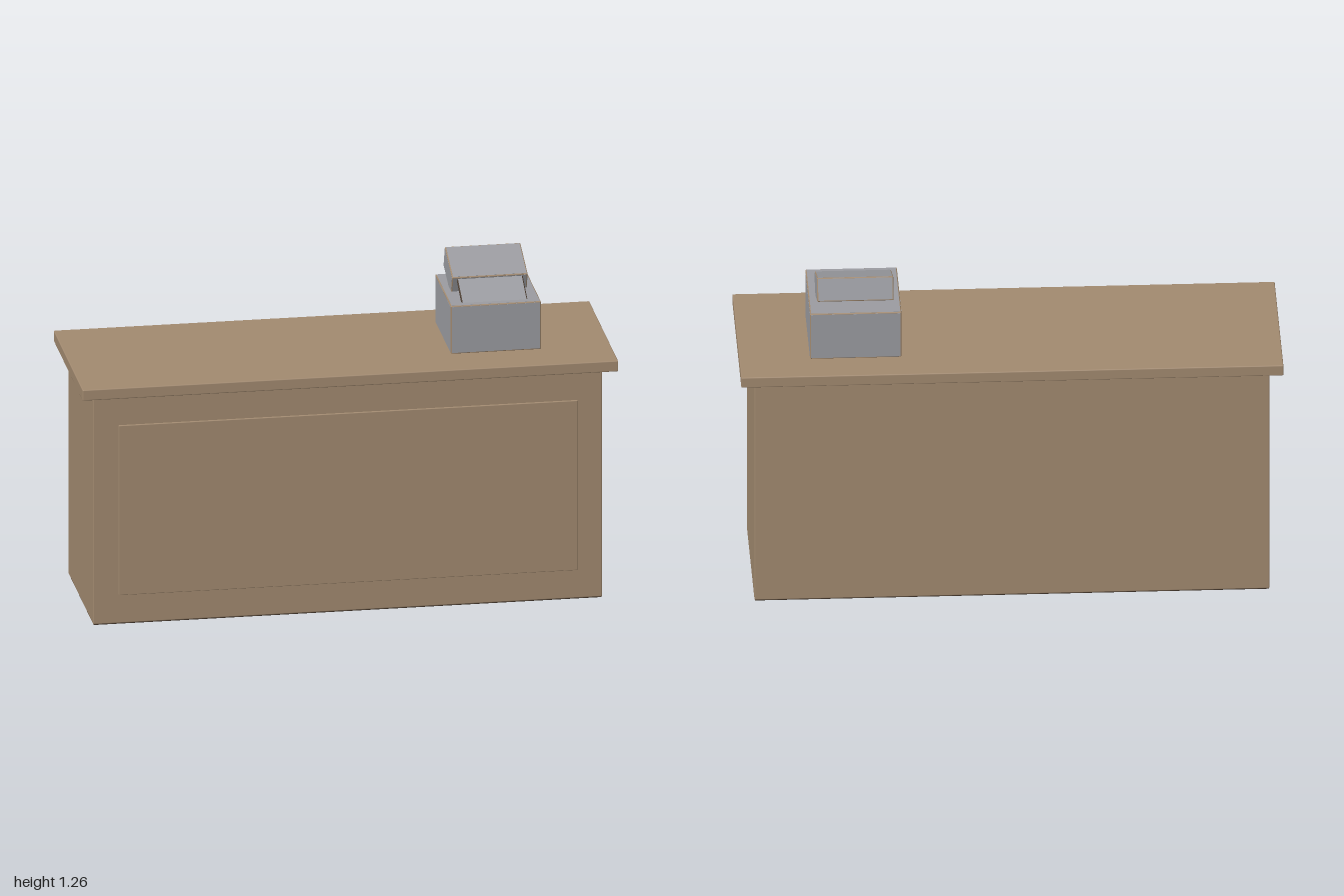
import * as THREE from 'three';
import { RoundedBoxGeometry } from 'three/addons/geometries/RoundedBoxGeometry.js';

export function createModel() {
  const model = new THREE.Group();
  model.name = 'shopCounter';

  const makeMaterial = (name, color) => {
    const material = new THREE.MeshStandardMaterial({ color });
    material.name = name;
    return material;
  };
  const wood = makeMaterial('brown wood', 0xa1896f);
  const metal = makeMaterial('grey metal', 0x9a9ba0);
  const dark = makeMaterial('dark brown', 0x4a3c30);

  const EASE = 0.004;

  // Box with finely eased edges
  function addBox(parent, name, material, size, centre) {
    const ease = Math.min(EASE, Math.min(...size) * 0.3);
    const mesh = new THREE.Mesh(new RoundedBoxGeometry(...size, 2, ease), material);
    mesh.name = name;
    mesh.position.set(...centre);
    parent.add(mesh);
  }

  // Metal box whose eased edges show the trim colour, tilted about x.
  // One thin-skinned slab per listed axis covers that pair of faces.
  function addTrimmedBox(parent, name, trim, size, centre, tilt = 0, axes = [0, 1, 2]) {
    const box = new THREE.Group();
    box.name = name;
    box.position.set(...centre);
    box.rotation.x = tilt;
    addBox(box, name + 'Edges', trim, size, [0, 0, 0]);
    for (const axis of axes) {
      const slab = size.map((s, i) => (i === axis ? s + 0.001 : s - 2 * EASE));
      const faces = new THREE.Mesh(new THREE.BoxGeometry(...slab), metal);
      faces.name = name + 'Faces';
      box.add(faces);
    }
    parent.add(box);
  }

  // Counter: body on a dark underside, overhanging top and a raised front panel
  const counter = new THREE.Group();
  counter.name = 'counter';
  addBox(counter, 'counterBody', wood, [1.9, 0.89, 0.567], [0, 0.448, -0.018]);
  addBox(counter, 'counterUnderside', dark, [1.896, 0.005, 0.563], [0, 0.0025, -0.018]);
  addBox(counter, 'counterTop', wood, [2, 0.042, 0.664], [0, 0.925, 0]);
  addBox(counter, 'frontPanel', wood, [1.714, 0.664, 0.009], [0, 0.449, 0.2765]);
  model.add(counter);

  // Till: base, sloping keyboard plate with dark rims, and tilted display housing
  const till = new THREE.Group();
  till.name = 'till';
  till.position.x = 0.571;
  addTrimmedBox(till, 'tillBase', wood, [0.337, 0.187, 0.356], [0, 1.0395, -0.018]);
  addTrimmedBox(till, 'keyboardPlate', dark, [0.246, 0.012, 0.168], [0, 1.157, 0.069], 0.46, [1]);
  addTrimmedBox(till, 'displayHousing', wood, [0.282, 0.089, 0.181], [0, 1.184, -0.076], 0.35);
  model.add(till);

  return model;
}
